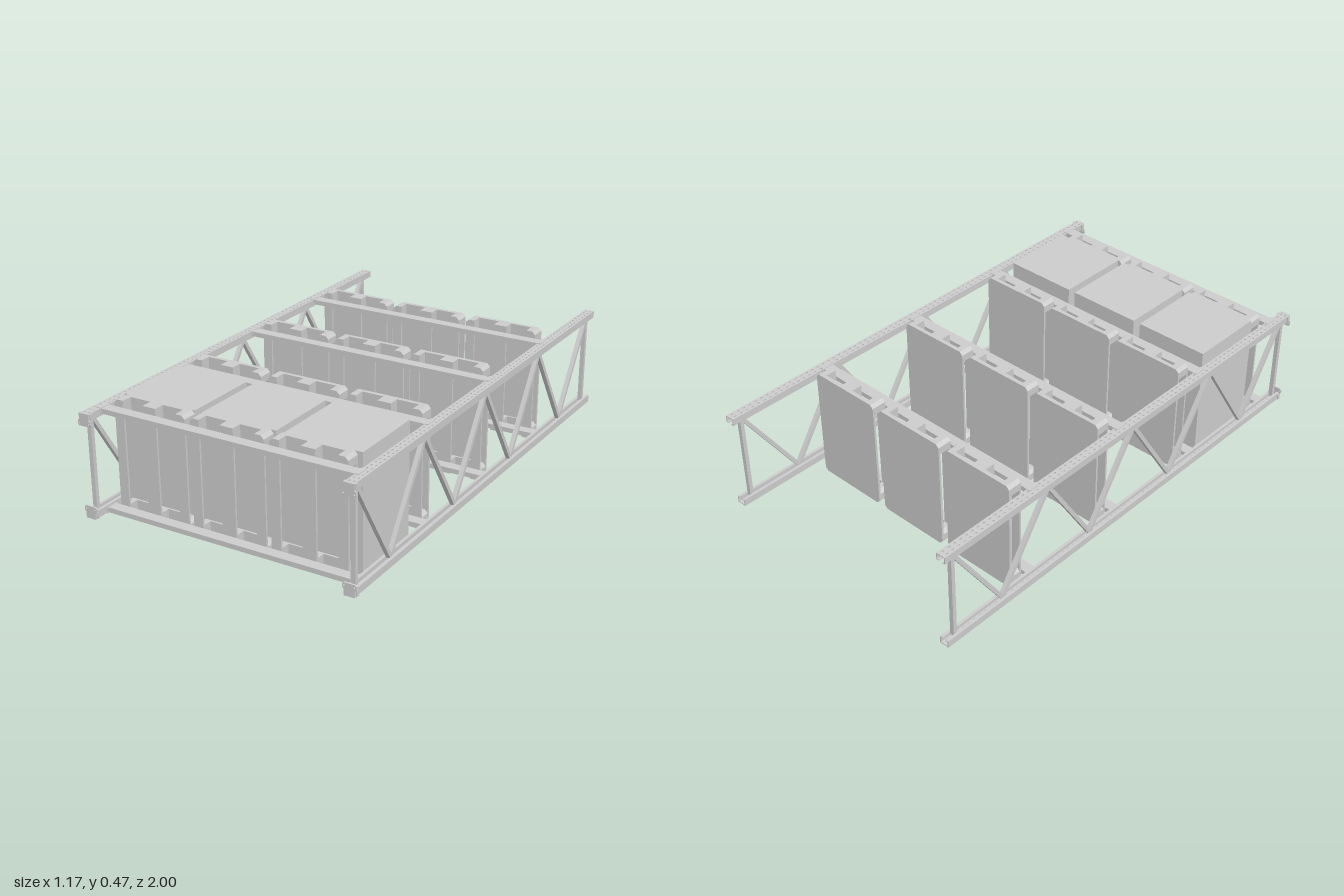
import * as THREE from 'three';

const MID = 0.26;          // centre height of the rack lying on its back
const HALF = 0.2375;       // half length of a pallet
const mat = new THREE.MeshStandardMaterial({ color: 0xcccccc, flatShading: true });

function mesh(name, geometry, parent) {
  const m = new THREE.Mesh(geometry, mat);
  m.name = name;
  parent.add(m);
  return m;
}

// Box given by its limits on each axis
function box(name, parent, x0, x1, y0, y1, z0, z1) {
  const g = new THREE.BoxGeometry(x1 - x0, y1 - y0, z1 - z0);
  g.translate((x0 + x1) / 2, (y0 + y1) / 2, (z0 + z1) / 2);
  return mesh(name, g, parent);
}

// Flat plate from a list of corners in x and y, between two z limits
function plate(name, parent, points, z0, z1, holes = []) {
  const shape = new THREE.Shape(points.map(p => new THREE.Vector2(...p)));
  shape.holes = holes;
  const g = new THREE.ExtrudeGeometry(shape, { depth: z1 - z0, bevelEnabled: false, curveSegments: 6 });
  g.translate(0, 0, z0);
  return mesh(name, g, parent);
}

function rectHole(x, y, w, h) {
  return new THREE.Path([[-w, -h], [-w, h], [w, h], [w, -h]]
    .map(([a, b]) => new THREE.Vector2(x + a / 2, y + b / 2)));
}

// Rectangle with cuts at the corners on its left and right sides
function clipped(x0, x1, y0, y1, cutL, cutR) {
  return [
    [x0 + cutL, y0], [x1 - cutR, y0], [x1, y0 + cutR], [x1, y1 - cutR],
    [x1 - cutR, y1], [x0 + cutL, y1], [x0, y1 - cutL], [x0, y0 + cutL],
  ].filter((p, i, a) => i === 0 || p[0] !== a[i - 1][0] || p[1] !== a[i - 1][1])
    .filter((p, i, a) => i === 0 || p[0] !== a[0][0] || p[1] !== a[0][1]);
}

// Perforated channel post, outer face towards +y
function makePost() {
  const post = new THREE.Group();
  post.name = 'post';
  const w = 0.0205, top = 0.21, low = 0.181, t = 0.004;
  const holes = [];
  for (let z = -0.98; z < 0.985; z += 0.028)
    for (const x of [-0.009, 0.009]) holes.push(rectHole(x, z, 0.006, 0.011));
  const web = plate('postFace', post, [[-w, -1], [w, -1], [w, 1], [-w, 1]], 0, t, holes);
  web.rotation.x = -Math.PI / 2;
  web.position.y = top - t;
  for (const s of [-1, 1]) {
    const flange = box('postFlange', post, -t / 2, t / 2, low, top - t, -1, 1);
    flange.position.x = s * (w - t / 2);
    const lip = box('postLip', post, -0.004, 0.004, low, low + t, -1, 1);
    lip.position.x = s * (w - t - 0.004);
  }
  // Foot plate with bolt holes
  const bolts = [-1, 1].map(s => new THREE.Path().absarc(s * 0.021, 0.172, 0.003, 0, Math.PI * 2, true));
  plate('footPlate', post, [
    [-0.023, 0.161], [0.023, 0.161], [0.028, 0.168], [0.026, 0.184], [0.0215, 0.186],
    [0.0215, 0.211], [-0.0215, 0.211], [-0.0215, 0.186], [-0.026, 0.184], [-0.028, 0.168],
  ], 0.993, 1, bolts);
  for (const s of [-1, 1])
    box('footLug', post, s * 0.024 - 0.002, s * 0.024 + 0.002, 0.184, 0.209, 0.98, 0.993);
  return post;
}

// Bar between two points of the side frame, given as [y, z]
function brace(parent, a, b) {
  const dy = b[0] - a[0], dz = b[1] - a[1];
  const m = mesh('brace', new THREE.BoxGeometry(0.018, 0.016, Math.hypot(dy, dz)), parent);
  m.position.set(0, (a[0] + b[0]) / 2, (a[1] + b[1]) / 2);
  m.rotation.x = -Math.atan2(dy, dz);
}

function makeFrame() {
  const frame = new THREE.Group();
  frame.name = 'sideFrame';
  const back = makePost();
  back.rotation.z = Math.PI;
  frame.add(makePost(), back);
  for (const z of [0.966, -0.953]) brace(frame, [0.19, z], [-0.19, z]);
  const zs = [0.957, 0.73, 0.49, 0.25, 0.008, -0.23, -0.468, -0.71, -0.95];
  for (let i = 0; i < 8; i++) {
    const s = i % 2 ? -1 : 1;
    brace(frame, [0.183 * s, zs[i]], [-0.183 * s, zs[i + 1]]);
  }
  return frame;
}

// Pair of beams with end connectors; z = 0 is the carrying face, load side is -z
function makeBeams() {
  const beams = new THREE.Group();
  beams.name = 'beamPair';
  for (const s of [-1, 1]) {
    const y = s * 0.2;
    box('beam', beams, -0.54, 0.54, y - 0.01, y + 0.01, 0, 0.045);
    for (const e of [-1, 1]) {
      box('beamConnector', beams, e * 0.5375 - 0.0025, e * 0.5375 + 0.0025, y - 0.012, y + 0.012, -0.006, 0.051);
      box('connectorFlange', beams, e * 0.546 - 0.008, e * 0.546 + 0.008, s * 0.211 - 0.0015, s * 0.211 + 0.0015, -0.002, 0.047);
    }
  }
  return beams;
}

// Pallet with its deck towards -z, standing on z = 0
function makePallet() {
  const pallet = new THREE.Group();
  pallet.name = 'pallet';
  const w = 0.1585, cut = 0.013, block = 0.057;
  plate('deck', pallet, clipped(-w, w, -HALF, HALF, cut, cut), -0.062, -0.053);
  for (const s of [-1, 1]) {
    const y = s * (HALF - block / 2);
    plate('crossBoard', pallet, clipped(-w, w, y - block / 2, y + block / 2, cut, cut), -0.053, -0.045);
  }
  // Three runners: bottom board and a block at each end
  for (const [x0, x1, l, r] of [[-w, -w + 0.04, cut, 0], [-0.0285, 0.0285, 0, 0], [w - 0.04, w, 0, cut]]) {
    plate('bottomBoard', pallet, clipped(x0, x1, -HALF, HALF, l, r), -0.008, 0);
    for (const s of [-1, 1]) {
      const y = s * (HALF - block / 2);
      plate('block', pallet, clipped(x0, x1, y - block / 2, y + block / 2, l, r), -0.045, -0.008);
    }
  }
  return pallet;
}

export function createModel() {
  const rack = new THREE.Group();
  rack.name = 'palletRack';

  for (const s of [-1, 1]) {
    const frame = makeFrame();
    frame.position.set(s * 0.558, MID, 0);
    rack.add(frame);
  }

  // Four levels, each with three pallets
  const columns = [-0.351, -0.002, 0.347];
  [0.883, 0.405, -0.076, -0.553].forEach((z, level) => {
    const beams = makeBeams();
    beams.position.set(0, MID, z);
    rack.add(beams);
    columns.forEach((x, i) => {
      const pallet = makePallet();
      pallet.position.set(x - (level === 0 ? i * 0.01 : 0), MID, z);
      rack.add(pallet);
    });
  });

  // Loads on the lowest level
  for (const x of columns)
    box('load', rack, x - 0.1585, x + 0.1585, MID - HALF, MID + HALF, 0.498, 0.821);

  return rack;
}
